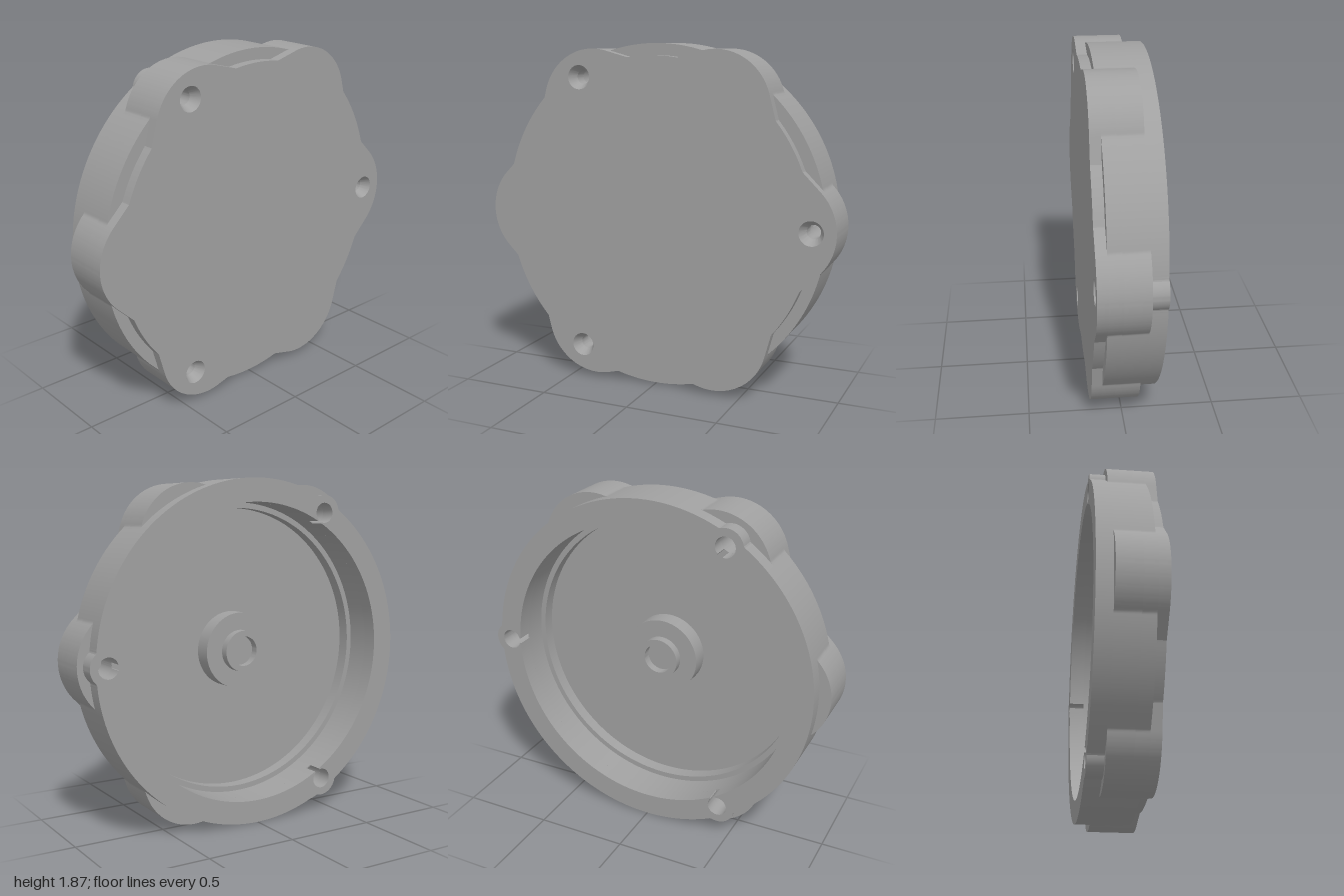
import * as THREE from 'three';
import { toCreasedNormals } from 'three/addons/utils/BufferGeometryUtils.js';

const BODY_R = 0.935, FACE_R = 0.873, SCREW_R = 0.87, CENTER_Y = 0.935;
const SCREWS = [0, 1, 2].map(i => i * Math.PI * 2 / 3);

// Angle from the nearest of n evenly spaced axes
function offAxis(t, n) {
  const step = Math.PI * 2 / n;
  return Math.abs(t - Math.round(t / step) * step);
}

// Six lobes: round tip, then a straight tangent flank at 45 degrees
function lobeRadius(t) {
  const a = offAxis(t, 6);
  if (a < Math.atan2(0.2121, 0.9121)) {
    return 0.7 * Math.cos(a) + Math.sqrt(0.09 - (0.7 * Math.sin(a)) ** 2);
  }
  return 1.1243 / (Math.cos(a) + Math.sin(a));
}

// Three screw bosses bulging out of the rim
function bossRadius(t) {
  const a = offAxis(t, 3), d = 0.098 ** 2 - (SCREW_R * Math.sin(a)) ** 2;
  return d > 0 && a < 0.5 ? SCREW_R * Math.cos(a) + Math.sqrt(d) : 0;
}

function polarPoints(radiusAt, n = 720) {
  return Array.from({ length: n }, (_, i) => {
    const t = i / n * Math.PI * 2, r = radiusAt(t);
    return new THREE.Vector2(r * Math.cos(t), r * Math.sin(t));
  });
}

function circle(r, x = 0, y = 0, n = 36) {
  return new THREE.Path(polarPoints(() => r, n).map(p => p.add(new THREE.Vector2(x, y))));
}

const screwHoles = r => SCREWS.map(t => circle(r, SCREW_R * Math.cos(t), SCREW_R * Math.sin(t)));

// Inner rim opening with a narrow slot into each screw bore
function slottedOpening(r, boreR, halfSlot) {
  const pts = [], a = Math.asin(halfSlot / r), d = Math.asin(halfSlot / boreR);
  for (const t of SCREWS) {
    const c = new THREE.Vector2(SCREW_R * Math.cos(t), SCREW_R * Math.sin(t));
    pts.push(new THREE.Vector2(r * Math.cos(t - a), r * Math.sin(t - a)));
    for (let i = 0; i <= 32; i++) {
      const b = t + Math.PI + d + (Math.PI * 2 - 2 * d) * i / 32;
      pts.push(new THREE.Vector2(c.x + boreR * Math.cos(b), c.y + boreR * Math.sin(b)));
    }
    for (let i = 0; i < 60; i++) {
      const b = t + a + (Math.PI * 2 / 3 - 2 * a) * i / 60;
      pts.push(new THREE.Vector2(r * Math.cos(b), r * Math.sin(b)));
    }
  }
  return new THREE.Path(pts);
}

export function createModel() {
  const group = new THREE.Group();
  const grey = new THREE.MeshStandardMaterial({ color: 0xa0a0a0 });
  grey.name = 'plain grey';

  function add(name, geometry) {
    const mesh = new THREE.Mesh(toCreasedNormals(geometry, 0.3), grey);
    mesh.name = name;
    mesh.position.y = CENTER_Y;
    group.add(mesh);
    return mesh;
  }

  function layer(name, radiusAt, holes, z0, z1) {
    const shape = new THREE.Shape(polarPoints(radiusAt));
    shape.holes.push(...holes);
    const geometry = new THREE.ExtrudeGeometry(shape, { depth: z1 - z0, bevelEnabled: false });
    add(name, geometry.translate(0, 0, z0));
  }

  const rimOutline = t => Math.max(BODY_R, bossRadius(t));
  const bodyOutline = t => Math.max(BODY_R, lobeRadius(t));
  const faceOutline = t => Math.max(FACE_R, lobeRadius(t));

  // Housing, from the open back to the closed front
  layer('backRim', rimOutline, [slottedOpening(0.81, 0.055, 0.015)], -0.17, -0.085);
  layer('lobedWall', bodyOutline, [circle(0.81, 0, 0, 180), ...screwHoles(0.055)], -0.085, 0.045);
  layer('innerLedge', bodyOutline, [circle(0.78, 0, 0, 180), ...screwHoles(0.037)], 0.045, 0.115);
  layer('frontPlate', faceOutline, screwHoles(0.065), 0.115, 0.17);

  // Countersunk screw seats
  for (const t of SCREWS) {
    const cone = new THREE.LatheGeometry(
      [new THREE.Vector2(0.065, 0.17), new THREE.Vector2(0.037, 0.115)], 36);
    cone.rotateX(Math.PI / 2).translate(SCREW_R * Math.cos(t), SCREW_R * Math.sin(t), 0);
    add('countersink', cone);
  }

  // Stepped hub on the inside floor, with a shallow socket
  const hub = [[0.21, 0], [0.21, 0.098], [0.114, 0.098], [0.114, 0.145],
    [0.082, 0.145], [0.082, 0.098], [0, 0.098]].map(p => new THREE.Vector2(...p));
  add('hub', new THREE.LatheGeometry(hub, 64).rotateX(-Math.PI / 2).translate(0, 0, 0.115));

  return group;
}
